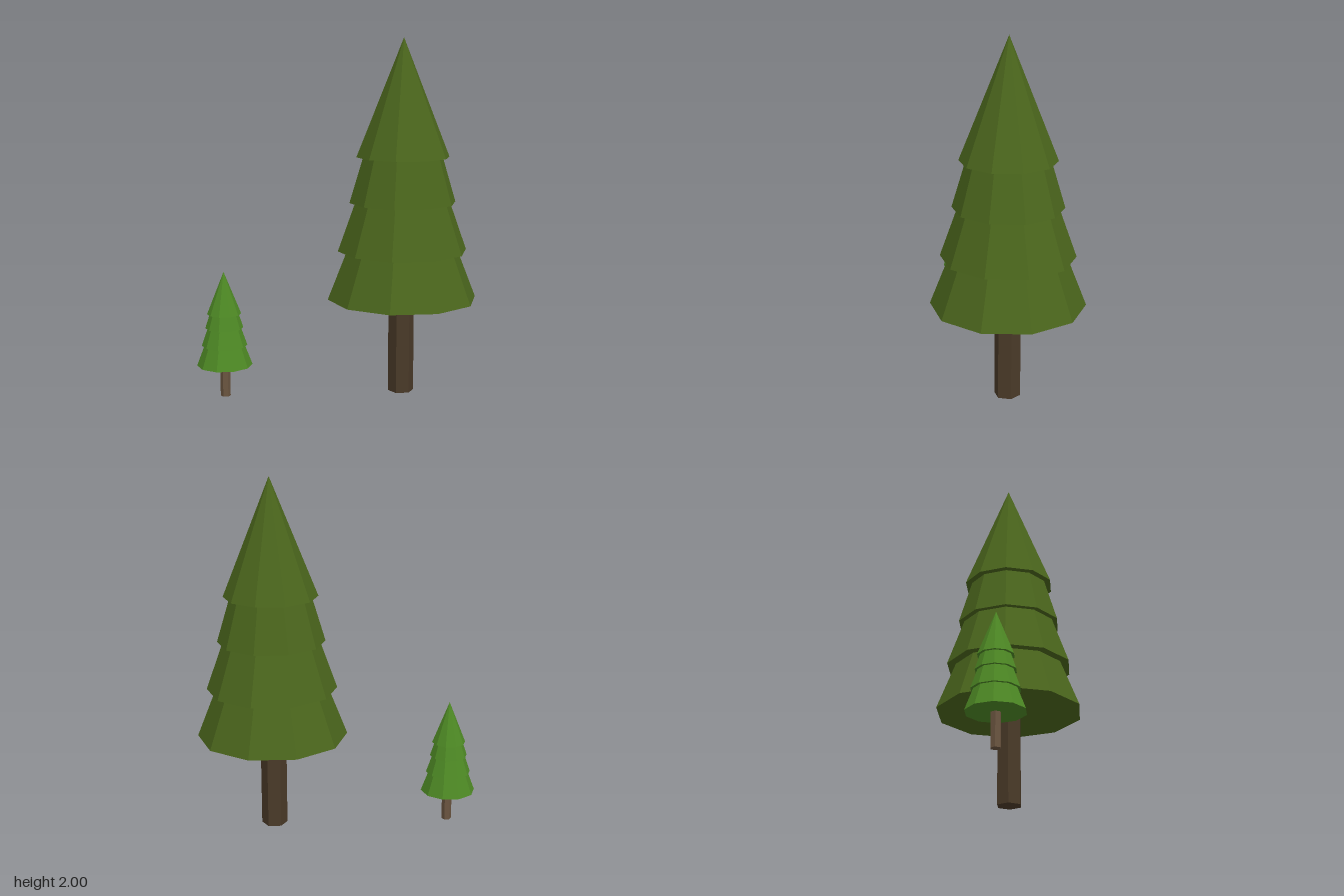
import * as THREE from 'three';

const paint = (color) => new THREE.MeshStandardMaterial({ color, flatShading: true, side: THREE.DoubleSide });

// Upright prism or frustum with a corner on the x axis
function frustum(name, rTop, rBottom, y0, y1, sides, material) {
  const geometry = new THREE.CylinderGeometry(rTop, rBottom, y1 - y0, sides, 1, false, Math.PI / 2);
  const mesh = new THREE.Mesh(geometry, material);
  mesh.name = name;
  mesh.position.y = (y0 + y1) / 2;
  return mesh;
}

// tiers: [base height, base radius, radius where the next tier begins]
function makeTree({ name, x, top, tiers, trunkRadius, trunkX, leafColor, barkColor }) {
  const tree = new THREE.Group();
  tree.name = name;
  tree.position.x = x;

  // Trunk
  const trunk = frustum('trunk', trunkRadius, trunkRadius, 0, tiers[0][0] + 0.01, 6, paint(barkColor));
  trunk.position.x = trunkX;
  tree.add(trunk);

  // Stacked skirts of foliage, the last one ending in a point
  const leaves = paint(leafColor);
  tiers.forEach(([y, r, rEnd], i) => {
    const yEnd = i + 1 < tiers.length ? tiers[i + 1][0] : top;
    tree.add(frustum(`foliageTier${i + 1}`, rEnd, r, y, yEnd, 10, leaves));
  });
  return tree;
}

export function createModel() {
  const model = new THREE.Group();
  model.name = 'pineTrees';
  model.add(
    makeTree({
      name: 'largeTree', x: 0.367, top: 2,
      tiers: [[0.54, 0.422, 0.314], [0.815, 0.365, 0.268], [1.088, 0.3, 0.224], [1.343, 0.262, 0]],
      trunkRadius: 0.073, trunkX: -0.003, leafColor: 0x4a651c, barkColor: 0x4a3a28,
    }),
    makeTree({
      name: 'smallTree', x: -0.637, top: 0.713,
      tiers: [[0.18, 0.155, 0.112], [0.294, 0.127, 0.092], [0.394, 0.106, 0.08], [0.474, 0.095, 0]],
      trunkRadius: 0.028, trunkX: 0.002, leafColor: 0x4d8824, barkColor: 0x6b5540,
    }),
  );
  return model;
}
